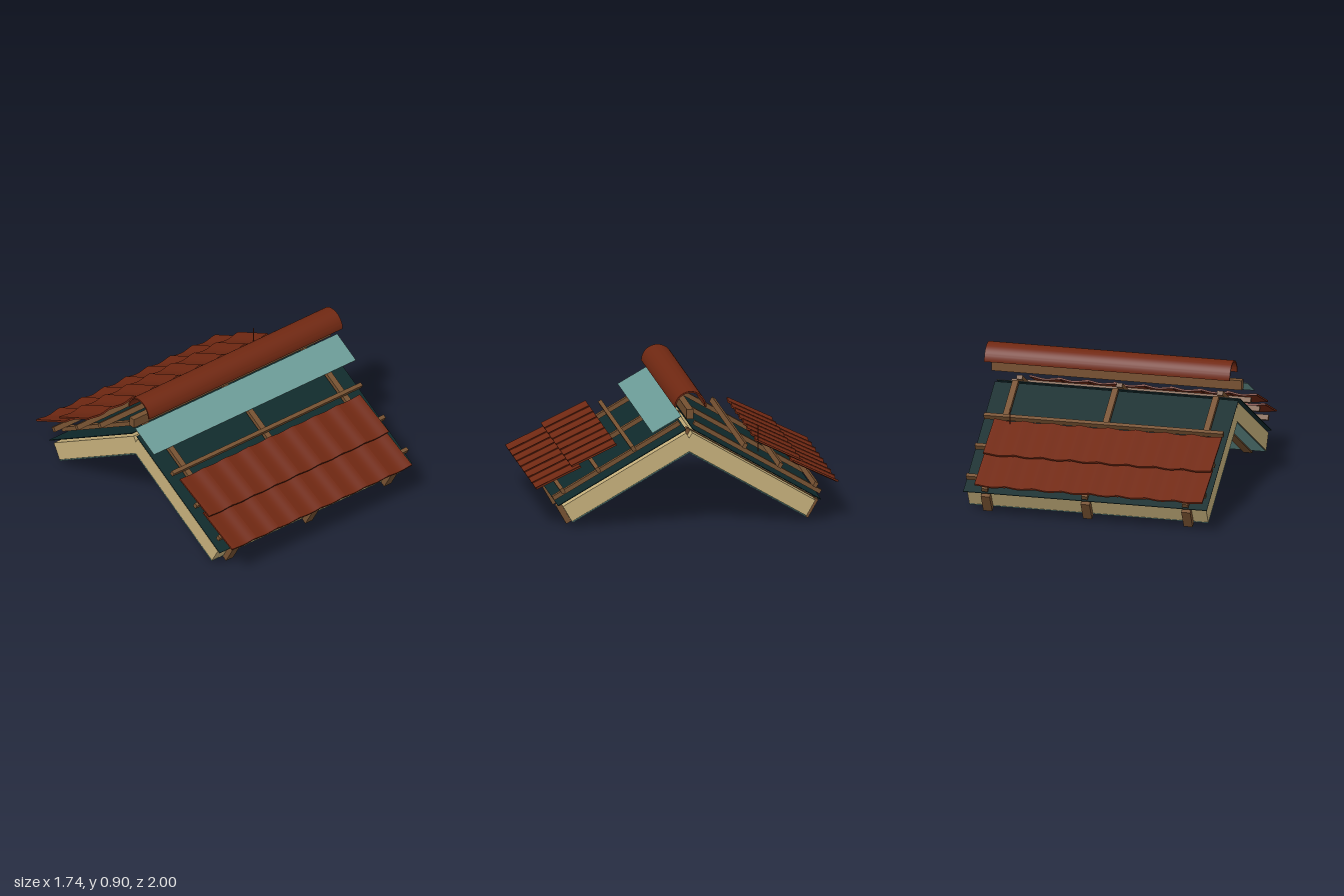
import * as THREE from 'three';
import { toCreasedNormals } from 'three/addons/utils/BufferGeometryUtils.js';

const PITCH = Math.PI / 6;        // roof slope
const TILE_PITCH = 0.443;         // tiles lie a little flatter
const EAVE_Y = 0.47;              // underside of the rafters at the ridge
const RAFTER_X = [-0.685, -0.005, 0.67];

function paint(name, color) {
  const m = new THREE.MeshStandardMaterial({ color, side: THREE.DoubleSide });
  m.name = name;
  return m;
}

export function createModel() {
  const roof = new THREE.Group();
  roof.name = 'layeredRoof';
  const wood = paint('wood', 0x765131);
  const clay = paint('clay', 0x702812);
  const foam = paint('insulation', 0xc6b07b);
  const teal = paint('tealSheet', 0x6c9c98);
  const dark = paint('darkMembrane', 0x0f2a2c);

  function add(parent, name, geometry, material, x = 0, y = 0, z = 0, rx = 0) {
    const mesh = new THREE.Mesh(geometry, material);
    mesh.name = name;
    mesh.position.set(x, y, z);
    mesh.rotation.x = rx;
    parent.add(mesh);
    return mesh;
  }

  // Box lying on a slope: x range, s range down the slope, n range along its normal
  function slopeBox(parent, side, name, material, [x0, x1], [s0, s1], [n0, n1]) {
    const s = (s0 + s1) / 2, n = (n0 + n1) / 2;
    const c = Math.cos(PITCH), k = Math.sin(PITCH);
    add(parent, name, new THREE.BoxGeometry(x1 - x0, n1 - n0, s1 - s0), material,
      (x0 + x1) / 2, EAVE_Y - s * k + n * c, side * (s * c + n * k), side * PITCH);
  }

  // Rafter with a plumb cut at the ridge, drawn in (z, y) and extruded along x
  function rafterGeometry(side) {
    const c = Math.cos(PITCH), k = Math.sin(PITCH), s = 0.922, n = 0.138;
    const pts = [[0, EAVE_Y], [s * c, EAVE_Y - s * k],
      [s * c + n * k, EAVE_Y - s * k + n * c], [0, EAVE_Y + n / c]];
    const shape = new THREE.Shape(pts.map(([z, y]) => new THREE.Vector2(-side * z, y)));
    const g = new THREE.ExtrudeGeometry(shape, { depth: 0.06, bevelEnabled: false });
    return g.translate(0, 0, -0.03).rotateY(Math.PI / 2);
  }

  // Gently dished tile whose right edge laps over its neighbour
  function tileGeometry(width, length) {
    const top = [], bottom = [];
    for (let i = 0; i <= 14; i++) {
      const u = i / 14;
      const y = 0.006 * Math.cos(u * Math.PI * 2) + 0.005 * (u - 0.5);
      top.push(new THREE.Vector2((u - 0.5) * width, y + 0.006));
      bottom.unshift(new THREE.Vector2((u - 0.5) * width, y - 0.006));
    }
    const g = new THREE.ExtrudeGeometry(new THREE.Shape([...top, ...bottom]),
      { depth: length, bevelEnabled: false });
    return toCreasedNormals(g.translate(0, 0, -length / 2), 0.6);
  }
  const tile = tileGeometry(0.207, 0.328);

  for (const side of [1, -1]) {
    const slope = new THREE.Group();
    slope.name = side > 0 ? 'frontSlope' : 'backSlope';
    roof.add(slope);

    // Inner lining, insulation and outer membrane
    slopeBox(slope, side, 'innerLining', teal, [-0.815, 0.8], [-0.01, 0.885], [0.009, 0.015]);
    slopeBox(slope, side, 'insulation', foam, [-0.815, 0.8], [-0.055, 0.885], [0.018, 0.136]);
    slopeBox(slope, side, 'membrane', dark, [-0.828, 0.818], [-0.066, 0.911], [0.157, 0.162]);

    // Rafters with counter battens above them
    const rafter = rafterGeometry(side);
    for (const x of RAFTER_X) {
      add(slope, 'rafter', rafter, wood, x);
      slopeBox(slope, side, 'counterBatten', wood, [x - 0.02, x + 0.02], [-0.054, 0.911], [0.175, 0.204]);
    }

    // Battens across the slope
    for (const s of [0.295, 0.565, 0.835]) {
      slopeBox(slope, side, 'batten', wood, [-0.815, 0.803], [s - 0.013, s + 0.013], [0.209, 0.244]);
    }

    // Two lapped courses of tiles
    for (const [y, z] of [[0.455, 0.612], [0.313, 0.847]]) {
      for (let i = 0; i < 8; i++) {
        add(slope, 'tile', tile, clay, -0.726 + i * 0.1903, y, side * z, side * TILE_PITCH);
      }
    }
  }

  // Ridge flashing sheet on the front side
  add(roof, 'ridgeSheet', new THREE.BoxGeometry(1.73, 0.004, 0.22), teal, -0.005, 0.685, 0.155, PITCH);

  // Ridge beam
  add(roof, 'ridgeBeam', new THREE.BoxGeometry(1.69, 0.065, 0.044), wood, -0.005, 0.748, 0);

  // Half-round ridge cap
  const arch = new THREE.Shape();
  arch.absarc(0, 0, 0.105, 0, Math.PI, false);
  arch.absarc(0, 0, 0.095, Math.PI, 0, true);
  const cap = new THREE.ExtrudeGeometry(arch, { depth: 1.66, bevelEnabled: false, curveSegments: 20 });
  cap.translate(0, 0, -0.83).rotateY(Math.PI / 2);
  add(roof, 'ridgeCap', toCreasedNormals(cap, 0.6), clay, 0.04, 0.8, 0);

  // Loose upright pin at the back
  add(roof, 'pin', new THREE.CylinderGeometry(0.004, 0.004, 0.175, 8), clay, 0.6, 0.53, -0.482);

  return roof;
}
